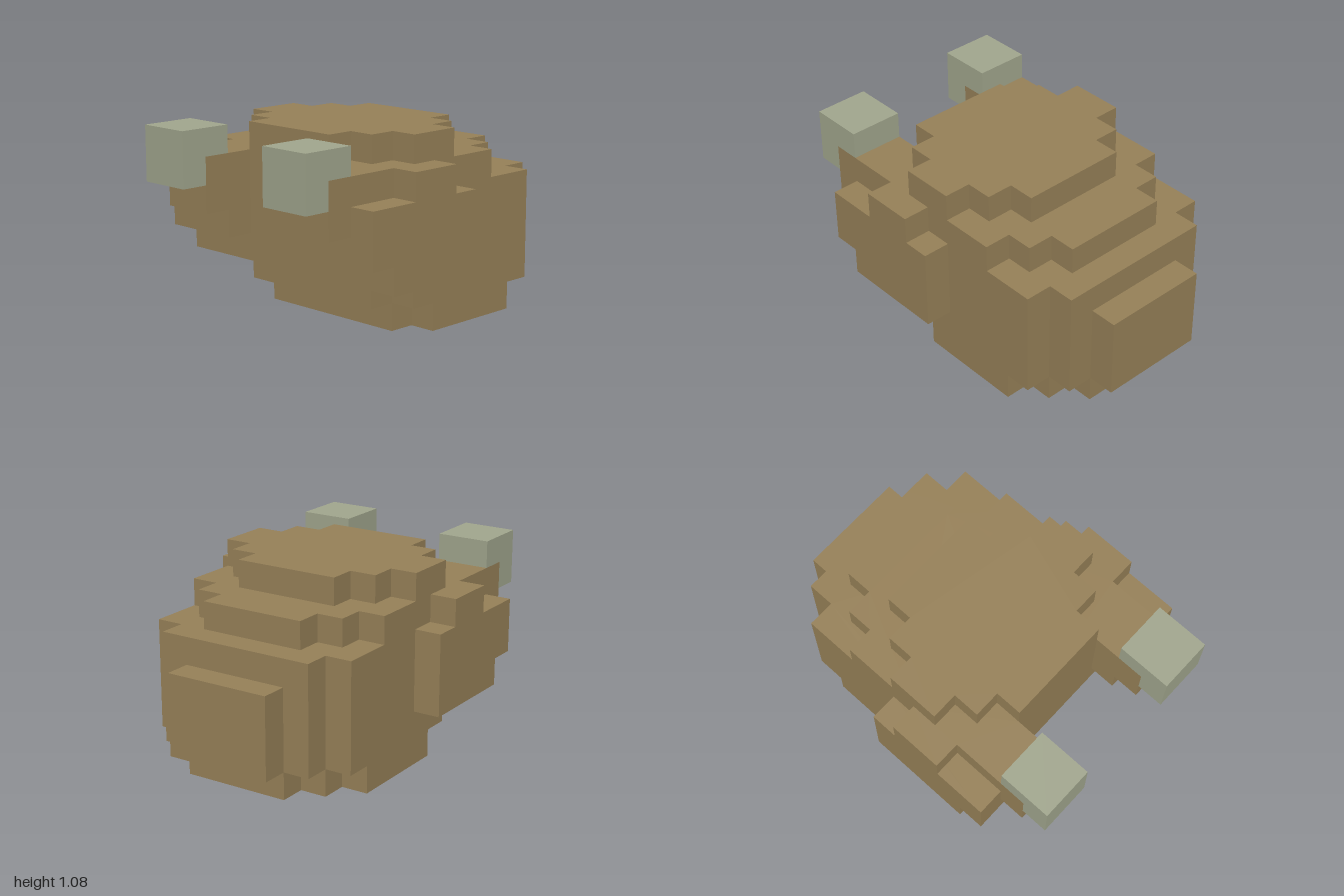
import * as THREE from 'three';

const U = 2 / 13; // one block

export function createModel() {
  const model = new THREE.Group();
  model.name = 'blockCreature';
  const brown = new THREE.MeshStandardMaterial({ color: 0x978158 });
  brown.name = 'brown';
  const sage = new THREE.MeshStandardMaterial({ color: 0xa2a78e });
  sage.name = 'sage';

  const add = (name, geometry, material) => {
    const mesh = new THREE.Mesh(geometry, material);
    mesh.name = name;
    model.add(mesh);
    return mesh;
  };
  const extrude = (points, depth) => new THREE.ExtrudeGeometry(
    new THREE.Shape(points.map(([a, b]) => new THREE.Vector2(a * U, b * U))),
    { depth: depth * U, bevelEnabled: false });

  // Mirrored stepped slab; columns run outward as [outer x, back, front],
  // counted in blocks, with depth measured from the rear end.
  function layer(name, y, height, columns) {
    const front = [], back = [];
    let inner = 0;
    for (const [outer, b, f] of columns) {
      front.push([inner, 6.5 - f], [outer, 6.5 - f]);
      back.push([inner, 6.5 - b], [outer, 6.5 - b]);
      inner = outer;
    }
    const half = [...front, ...back.reverse()].filter(([x]) => x > 0);
    const mirrored = half.map(([x, z]) => [-x, z]).reverse();
    const geometry = extrude([...half, ...mirrored], height);
    geometry.rotateX(-Math.PI / 2).translate(0, y * U, 0);
    add(name, geometry, brown);
  }

  // Body, from the belly up; the outer columns form the arms
  layer('belly', 0, 1, [[2, 1, 8], [3, 2, 8], [4, 3, 7]]);
  layer('lowerBody', 1, 1, [[3, 1, 9], [4, 2, 8]]);
  layer('armBase', 2, 1, [[3, 1, 10], [4, 2, 10], [5, 6, 10]]);
  layer('lowerArms', 3, 1, [[2, 1, 10], [3, 1, 11], [4, 2, 11], [5, 6, 11]]);
  layer('upperArms', 4, 1, [[2, 1, 10], [3, 1, 12], [4, 2, 12], [5, 6, 11]]);
  layer('shoulders', 5, 1, [[2, 2, 10], [3, 3, 12], [4, 4, 12], [5, 7, 9]]);
  layer('topShell', 6, 1, [[2, 4, 10], [3, 5, 9], [4, 6, 8]]);
  layer('rearPlate', 1, 3, [[2, 0, 1]]);

  // Pale end blocks, notched to sit over the arm tips
  const tip = extrude([[-6.5, 5], [-5.5, 5], [-5.5, 6], [-4.5, 6], [-4.5, 7], [-6.5, 7]], 2);
  tip.rotateY(Math.PI / 2);
  add('leftArmTip', tip, sage).position.x = 2 * U;
  add('rightArmTip', tip, sage).position.x = -4 * U;

  return model;
}
